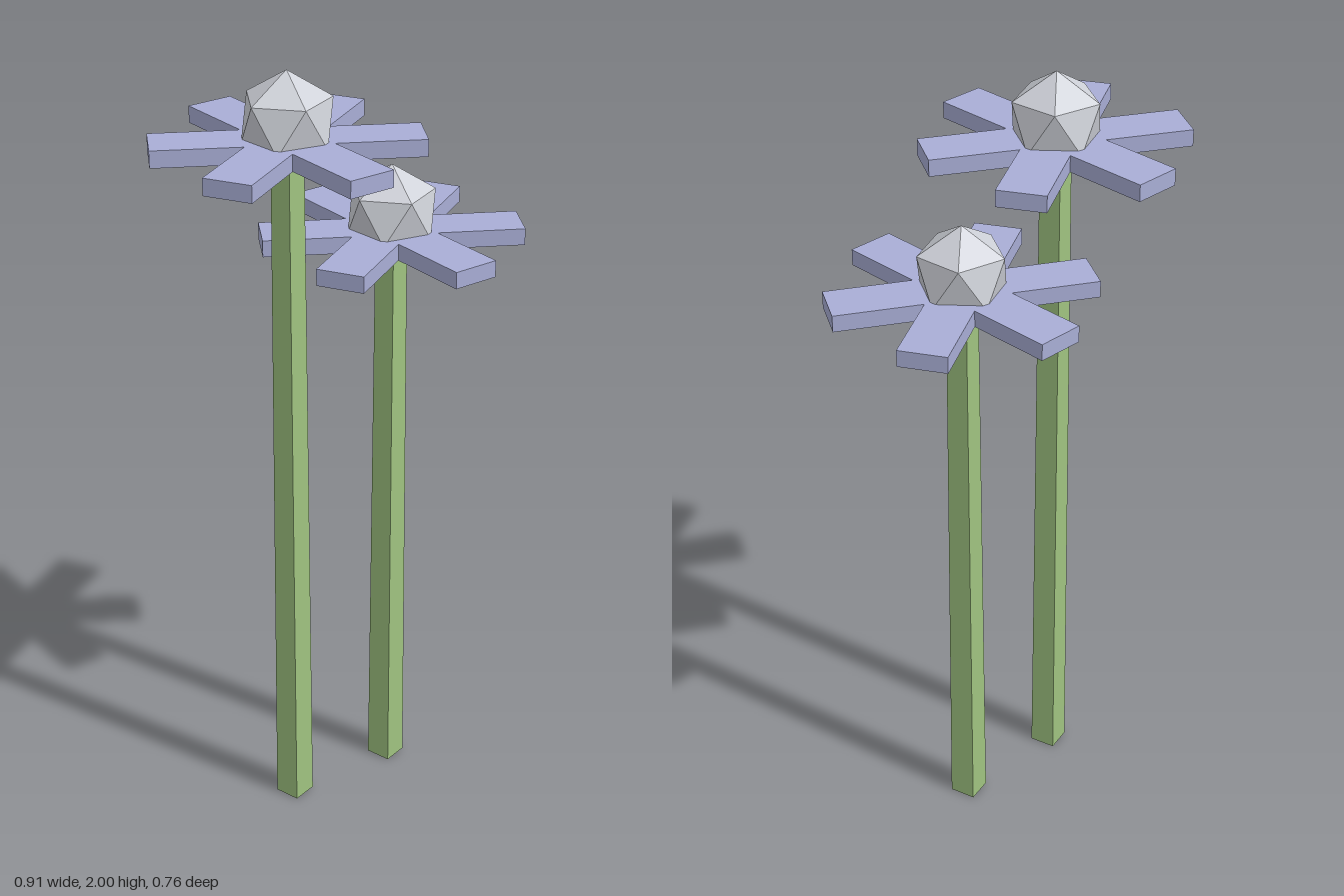
import * as THREE from 'three';

const material = (name, color) => {
  const m = new THREE.MeshStandardMaterial({ color, flatShading: true });
  m.name = name;
  return m;
};

export function createModel() {
  const stemGreen = material('stem green', 0x9fc380);
  const petalLilac = material('petal lilac', 0xa9aed6);
  const coreGrey = material('core grey', 0xcfd2d9);

  // Six straight petals joined into one star outline
  const reach = 0.32, half = 0.06, thickness = 0.042;
  const points = [];
  for (let i = 0; i < 6; i++) {
    const a = i * Math.PI / 3;
    const turn = (x, y) => new THREE.Vector2(x, y).rotateAround(new THREE.Vector2(), a);
    points.push(turn(reach, -half), turn(reach, half), turn(half * Math.sqrt(3), half));
  }
  const petalGeometry = new THREE.ExtrudeGeometry(new THREE.Shape(points), { depth: thickness, bevelEnabled: false });
  petalGeometry.translate(0, 0, -thickness / 2).rotateX(-Math.PI / 2);

  // Faceted core, standing on one corner
  const coreGeometry = new THREE.IcosahedronGeometry(0.12, 0);
  coreGeometry.rotateZ(-Math.atan(2 / (1 + Math.sqrt(5))));

  const makeFlower = (name, x, z, height) => {
    const flower = new THREE.Group();
    flower.name = name;
    const add = (part, geometry, mat, y) => {
      const mesh = new THREE.Mesh(geometry, mat);
      mesh.name = part;
      mesh.position.y = y;
      flower.add(mesh);
    };
    // Four-sided stem, slightly tapered
    add('stem', new THREE.CylinderGeometry(0.039, 0.048, height, 4), stemGreen, height / 2);
    add('petals', petalGeometry, petalLilac, height);
    add('core', coreGeometry, coreGrey, height + 0.06);
    flower.position.set(x, 0, z);
    return flower;
  };

  const model = new THREE.Group();
  model.name = 'flowers';
  model.add(makeFlower('tallFlower', -0.133, 0.073, 1.82));
  model.add(makeFlower('shortFlower', 0.133, -0.073, 1.53));
  return model;
}
